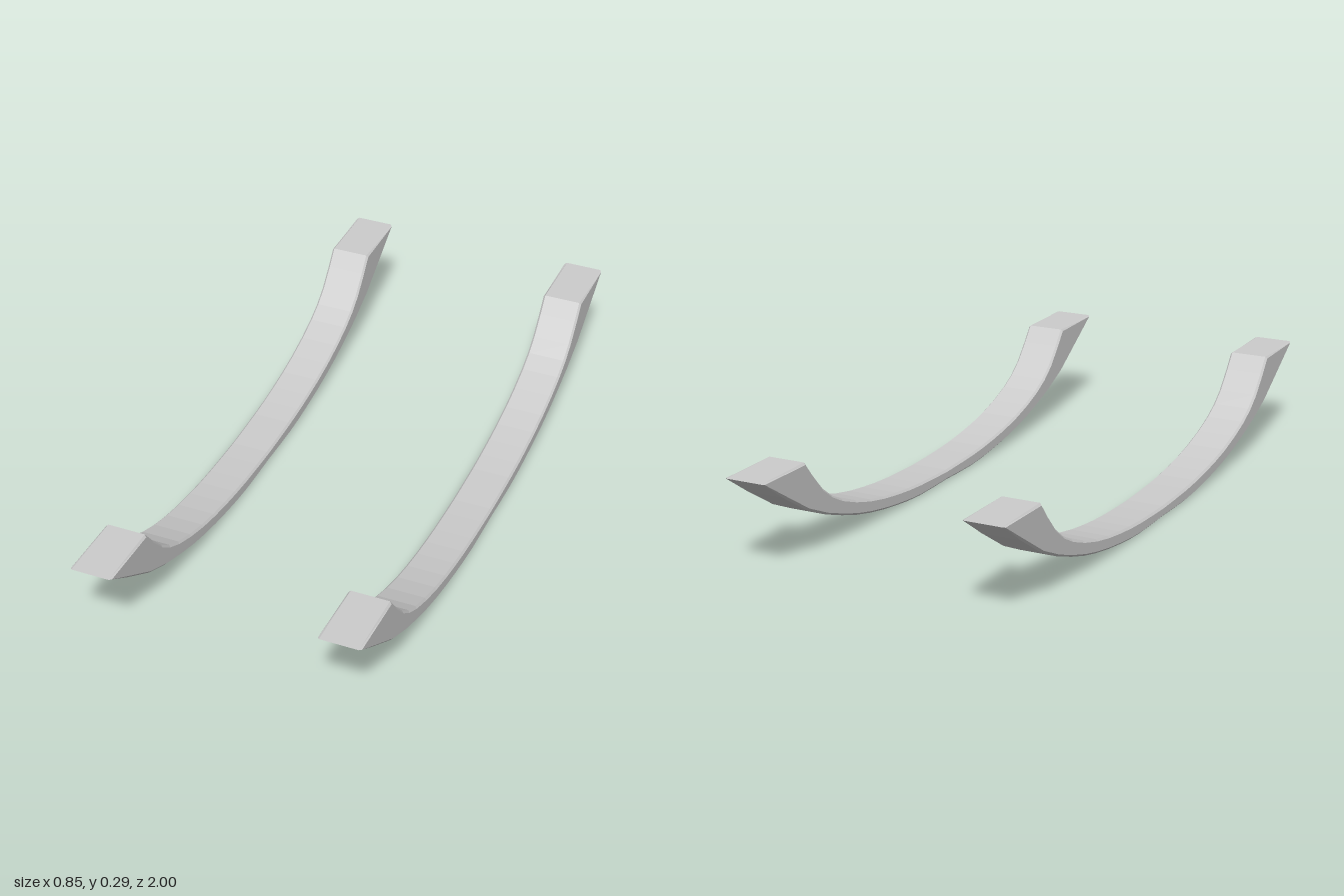
import * as THREE from 'three';

const WIDTH = 0.125, BEVEL = 0.006, OFFSET = 0.3645;

// Half profiles as (distance from the middle, height), middle to tip
const LOWER = [[0, 0.004], [0.16, 0.002], [0.3, 0.014], [0.45, 0.038], [0.6, 0.078], [0.78, 0.15], [1, 0.292]];
const UPPER = [[0, 0.036], [0.16, 0.041], [0.3, 0.054], [0.45, 0.08], [0.6, 0.128], [0.7, 0.19], [0.788, 0.292]];

// Smooth half curve mirrored into a full run from -z to +z
function arc(half, segments) {
  const pts = new THREE.SplineCurve(half.map(([d, h]) => new THREE.Vector2(d, h))).getPoints(segments);
  const mirrored = pts.slice(1).reverse().map(p => new THREE.Vector2(-p.x, p.y));
  return [...mirrored, ...pts];
}

// Crescent profile with flat tops at both tips, extruded with small bevels
function runnerGeometry() {
  const outline = [...arc(LOWER, 12), ...arc(UPPER, 12).reverse()];
  const geometry = new THREE.ExtrudeGeometry(new THREE.Shape(outline), {
    depth: WIDTH - 2 * BEVEL,
    bevelEnabled: true,
    bevelThickness: BEVEL,
    bevelSize: BEVEL,
    bevelOffset: -BEVEL,
    bevelSegments: 1,
  });
  geometry.translate(0, 0, -WIDTH / 2 + BEVEL);
  geometry.rotateY(Math.PI / 2);
  return geometry;
}

export function createModel() {
  const model = new THREE.Group();
  model.name = 'rockerRunners';
  const material = new THREE.MeshStandardMaterial({ color: 0xcccccc, flatShading: true });
  const geometry = runnerGeometry();

  // A matching runner on each side
  for (const [name, side] of [['leftRunner', 1], ['rightRunner', -1]]) {
    const runner = new THREE.Mesh(geometry, material);
    runner.name = name;
    runner.position.x = side * OFFSET;
    model.add(runner);
  }
  return model;
}
